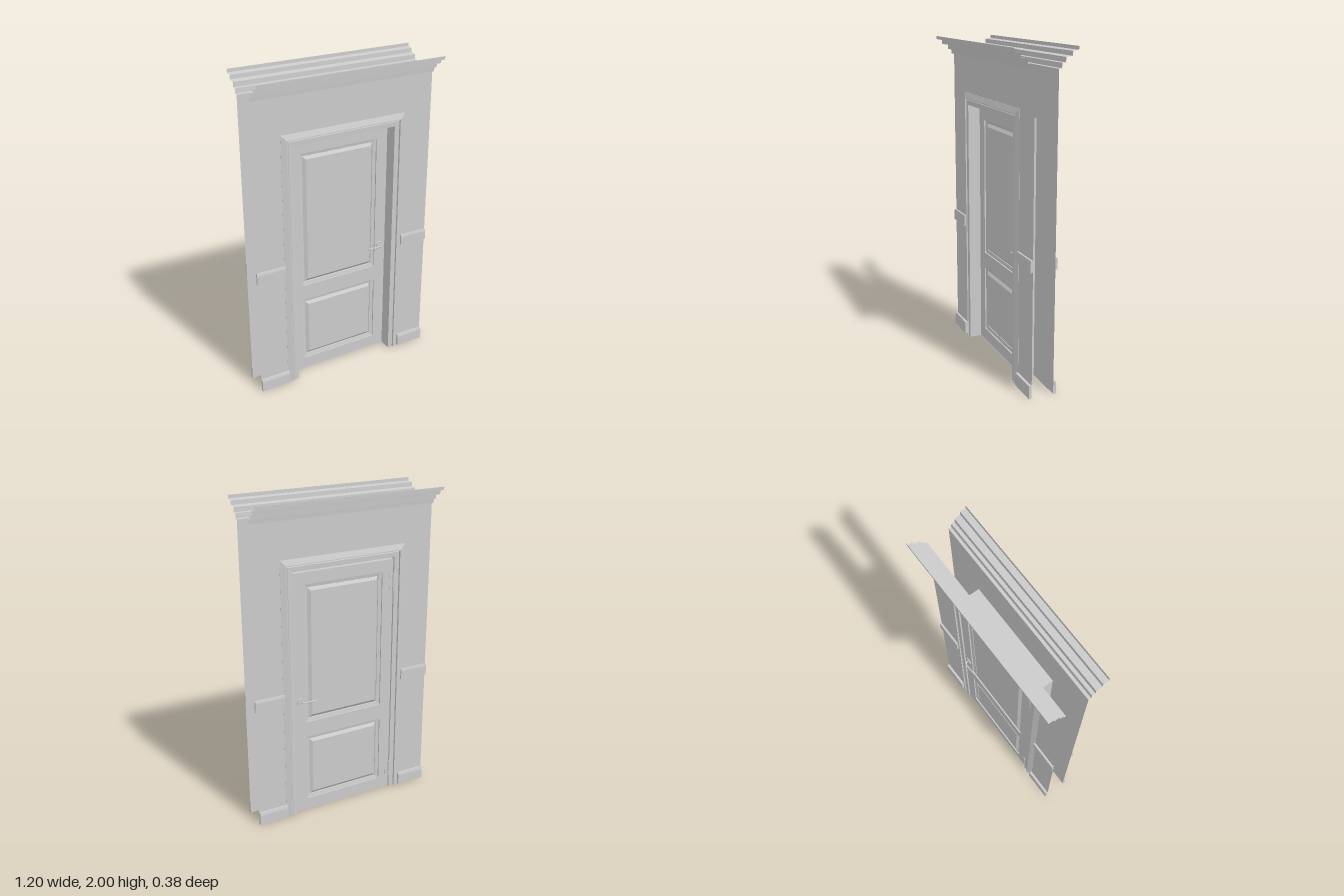
import * as THREE from 'three';

const mat = new THREE.MeshStandardMaterial({ color: 0xcccccc, side: THREE.DoubleSide });

const OPEN_X = 0.34, OPEN_Y = 1.585, WALL_Z = 0.07;
const DOOR_FRONT = 0, DOOR_BACK = -0.068;

function add(parent, name, geometry, x = 0, y = 0, z = 0) {
  const mesh = new THREE.Mesh(geometry, mat);
  mesh.name = name;
  mesh.position.set(x, y, z);
  parent.add(mesh);
  return mesh;
}

// Flat-shaded skin through rows of points, all rows equally long
function loft(rows, closed = false) {
  const pos = [];
  for (let i = 0; i < rows.length - 1; i++) {
    const n = rows[i].length;
    for (let j = 0; j < (closed ? n : n - 1); j++) {
      const k = (j + 1) % n;
      const a = rows[i][j], b = rows[i][k], c = rows[i + 1][k], d = rows[i + 1][j];
      pos.push(...a, ...b, ...c, ...a, ...c, ...d);
    }
  }
  const g = new THREE.BufferGeometry();
  g.setAttribute('position', new THREE.Float32BufferAttribute(pos, 3));
  g.computeVertexNormals();
  return g;
}

// Outline of a rounded rectangle, counter-clockwise
function roundedRect(w, y0, y1, r) {
  const pts = [];
  [[w - r, y1 - r], [-w + r, y1 - r], [-w + r, y0 + r], [w - r, y0 + r]].forEach(([cx, cy], q) => {
    for (let i = 0; i <= 3; i++) {
      const a = (q + i / 3) * Math.PI / 2;
      pts.push(new THREE.Vector2(cx + r * Math.cos(a), cy + r * Math.sin(a)));
    }
  });
  return pts;
}

// Wall face, mouldings and casing for one side, facing +z
function wallSide(name) {
  const side = new THREE.Group();
  side.name = name;

  const wall = new THREE.Shape([
    [-0.6, 0], [-OPEN_X, 0], [-OPEN_X, OPEN_Y], [OPEN_X, OPEN_Y],
    [OPEN_X, 0], [0.6, 0], [0.6, 1.885], [-0.6, 1.885],
  ].map(p => new THREE.Vector2(...p)));
  add(side, 'wall', new THREE.ShapeGeometry(wall), 0, 0, WALL_Z);

  // Stepped crown moulding, open at the top and ends: [z, y]
  const crown = [
    [0.07, 1.885], [0.087, 1.887], [0.09, 1.915], [0.11, 1.917], [0.112, 1.945],
    [0.15, 1.95], [0.152, 1.975], [0.187, 1.98], [0.188, 2],
  ];
  add(side, 'crownMoulding', loft(crown.map(([z, y]) => [[-0.6, y, z], [0.6, y, z]])));

  // Mitred casing: [distance from opening, z]
  const casing = [[0, 0.07], [0, 0.077], [0.03, 0.078], [0.034, 0.074], [0.036, 0.084], [0.042, 0.084], [0.075, 0.071], [0.075, 0.07]];
  add(side, 'casing', loft(casing.map(([d, z]) => {
    const x = OPEN_X + d, y = OPEN_Y + d;
    return [[x, 0, z], [x, y, z], [-x, y, z], [-x, 0, z]];
  })));

  // Baseboards and chair rails beside the casing
  const strip = (label, y0, h, out) => {
    for (const s of [-1, 1]) {
      const shape = new THREE.Shape([
        [0, 0], [out, 0], [out, h * 0.8], [out * 0.8, h], [0, h],
      ].map(p => new THREE.Vector2(...p)));
      const g = new THREE.ExtrudeGeometry(shape, { depth: 0.19, bevelEnabled: false });
      g.rotateY(-Math.PI / 2);
      add(side, label, g, s > 0 ? 0.6 : -0.41, y0, WALL_Z);
    }
  };
  strip('baseboard', 0, 0.08, 0.018);
  strip('chairRail', 0.77, 0.07, 0.014);
  return side;
}

// Lever handle facing +z, with the lever pointing to -x
function handle() {
  const g = new THREE.Group();
  g.name = 'handle';
  add(g, 'rosette', new THREE.CylinderGeometry(0.024, 0.025, 0.006, 24).rotateX(Math.PI / 2), 0, 0, 0.003);
  const path = new THREE.CatmullRomCurve3([
    [0, 0, 0], [0, 0, 0.02], [-0.008, 0, 0.029], [-0.05, 0, 0.029], [-0.092, -0.002, 0.026],
  ].map(p => new THREE.Vector3(...p)), false, 'centripetal');
  add(g, 'lever', new THREE.TubeGeometry(path, 24, 0.005, 10));
  add(g, 'leverTip', new THREE.SphereGeometry(0.005, 10, 8), -0.092, -0.002, 0.026);
  return g;
}

export function createModel() {
  const model = new THREE.Group();
  model.name = 'doorway';

  const front = wallSide('frontSide');
  const back = wallSide('backSide');
  back.rotation.y = Math.PI;
  model.add(front, back);

  // Jamb lining through the wall
  add(model, 'jamb', loft([-WALL_Z, WALL_Z].map(z => [
    [OPEN_X, 0, z], [OPEN_X, OPEN_Y, z], [-OPEN_X, OPEN_Y, z], [-OPEN_X, 0, z],
  ])));

  // Door slab with two panel openings
  const door = new THREE.Group();
  door.name = 'door';
  model.add(door);
  const panels = [[0.62, 1.5], [0.08, 0.52]];
  const slab = new THREE.Shape([
    [-0.338, 0.003], [0.338, 0.003], [0.338, 1.573], [-0.338, 1.573],
  ].map(p => new THREE.Vector2(...p)));
  for (const [y0, y1] of panels) slab.holes.push(new THREE.Path(roundedRect(0.263, y0, y1, 0.01)));
  add(door, 'slab', new THREE.ExtrudeGeometry(slab, { depth: DOOR_FRONT - DOOR_BACK, bevelEnabled: false }), 0, 0, DOOR_BACK);

  // Raised panels on both faces: [inset, depth below the face]
  for (const [face, dir] of [[DOOR_FRONT, 1], [DOOR_BACK, -1]]) {
    for (const [y0, y1] of panels) {
      const rows = [[0, 0.008], [0.022, 0.012], [0.024, 0.016], [0.043, 0.003]].map(([d, depth]) =>
        roundedRect(0.263 - d, y0 + d, y1 - d, d ? 0.001 : 0.01).map(p => [p.x, p.y, face - dir * depth]));
      add(door, 'panelMoulding', loft(dir > 0 ? rows : rows.reverse(), true));
      const field = add(door, 'panelField', new THREE.PlaneGeometry(0.44, y1 - y0 - 0.086),
        0, (y0 + y1) / 2, face - dir * 0.003);
      if (dir < 0) field.rotation.y = Math.PI;
    }
    const lever = handle();
    lever.position.set(0.3, 0.768, face);
    lever.scale.z = dir;
    door.add(lever);
  }

  // Hinges on the back
  for (const y of [0.14, 1.43]) {
    add(door, 'hingeLeaf', new THREE.BoxGeometry(0.024, 0.09, 0.004), -0.325, y, DOOR_BACK - 0.001);
    add(door, 'hingePin', new THREE.CylinderGeometry(0.006, 0.006, 0.1, 12), -0.338, y, DOOR_BACK - 0.006);
  }
  return model;
}
